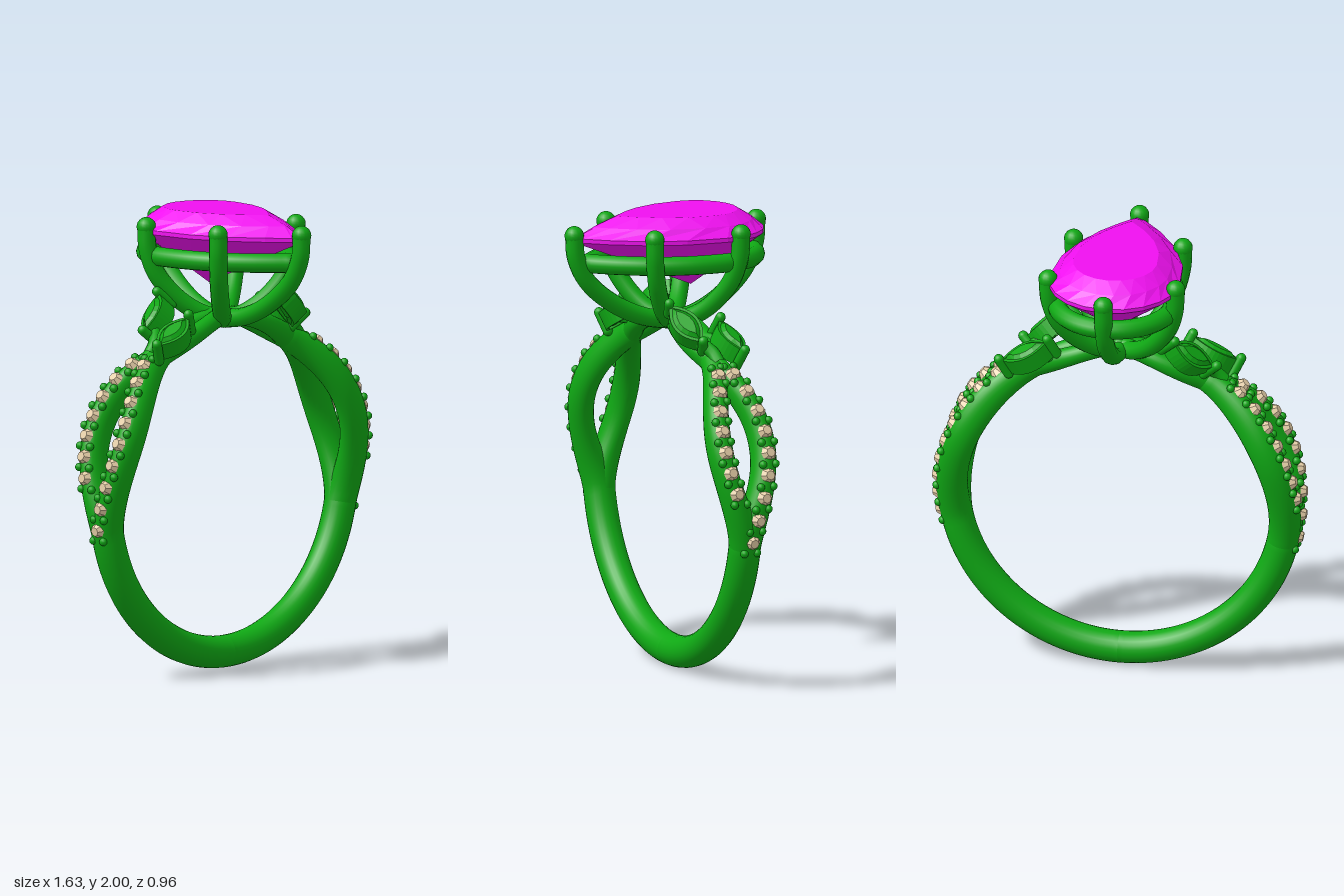
import * as THREE from 'three';

const V = (x, y, z) => new THREE.Vector3(x, y, z);
const metal = new THREE.MeshStandardMaterial({ color: 0x0fa814 });
const metalFlat = new THREE.MeshStandardMaterial({ color: 0x0fa814, flatShading: true });
const gemMat = new THREE.MeshStandardMaterial({ color: 0xf010f0, flatShading: true });
const paveMat = new THREE.MeshStandardMaterial({ color: 0xe6cfa8, flatShading: true });
const BAND_Z = -0.04, CENTER_Y = 0.8;

function add(parent, name, geometry, material, pos) {
  const mesh = new THREE.Mesh(geometry, material);
  mesh.name = name;
  if (pos) mesh.position.copy(pos);
  parent.add(mesh);
  return mesh;
}

// Skin a list of closed rings with equal point counts
function loft(rings) {
  const n = rings[0].length, index = [];
  for (let j = 0; j < rings.length - 1; j++)
    for (let i = 0; i < n; i++) {
      const k = (i + 1) % n, a = j * n, b = a + n;
      index.push(a + i, a + k, b + k, a + i, b + k, b + i);
    }
  const g = new THREE.BufferGeometry().setFromPoints(rings.flat());
  g.setIndex(index);
  g.computeVertexNormals();
  return g;
}

// Band dimensions as rules of the angle (degrees, -90 bottom, 90 top)
const ramp = (a, a0, a1, v0, v1) => v0 + (v1 - v0) * THREE.MathUtils.smoothstep(a, a0, a1);
const halfDepth = a => ramp(a, 35, 80, 0.07, 0.04);
const halfWidth = a => ramp(a, -12, 15, 0.07, 0.054) - ramp(a, 40, 75, 0, 0.014);
const midRadius = a => 0.66 + halfDepth(a) + ramp(a, 60, 90, 0, 0.035);
function spread(a) {
  if (a < -12) return 0;
  if (a < 58) return 0.102 * Math.sin(Math.PI * (a + 12) / 70) ** 1.4;
  return -0.045 * Math.sin(Math.PI * (a - 58) / 32);
}
function bandPoint(a, side, lift, dz) {
  const t = THREE.MathUtils.degToRad(a), r = midRadius(a) + lift;
  return V(r * Math.cos(t), CENTER_Y + r * Math.sin(t), BAND_Z + side * spread(a) + dz);
}

function strand(side, start) {
  const rings = [];
  for (let a = start; a <= 90; a += 2) {
    const ring = [];
    for (let i = 0; i < 24; i++) {
      const u = -i / 24 * Math.PI * 2;
      ring.push(bandPoint(a, side, halfDepth(a) * Math.cos(u), halfWidth(a) * Math.sin(u)));
    }
    rings.push(ring);
  }
  return loft(rings);
}

// Small stones with holding beads along a strand
function pave(parent, side, from, count) {
  const step = (47 - from) / (count - 1);
  const stone = new THREE.CylinderGeometry(0.02, 0.036, 0.024, 8);
  const bead = new THREE.SphereGeometry(0.018, 10, 8);
  for (let i = 0; i <= count; i++) {
    const a = from + i * step, b = a - step / 2;
    if (i < count) {
      const m = add(parent, 'paveStone', stone, paveMat, bandPoint(a, side, halfDepth(a) + 0.002, 0));
      m.rotation.z = THREE.MathUtils.degToRad(a - 90);
    }
    for (const dz of [-0.03, 0.03])
      add(parent, 'paveBead', bead, metal, bandPoint(b, side, halfDepth(b) - 0.008, dz));
  }
}

function leafShape(l, w, Type = THREE.Shape) {
  const s = new Type();
  s.moveTo(-l, 0);
  s.quadraticCurveTo(0, -2 * w, l, 0);
  s.quadraticCurveTo(0, 2 * w, -l, 0);
  return s;
}

// Leaf-shaped accent: rim, faceted centre and a post at each tip
function leafSetting(parent, center, dir, normal) {
  const g = new THREE.Group();
  g.name = 'leafSetting';
  const x = dir.normalize(), y = normal.clone().cross(x).normalize(), z = x.clone().cross(y);
  g.quaternion.setFromRotationMatrix(new THREE.Matrix4().makeBasis(x, y, z));
  g.position.copy(center);
  const rim = leafShape(0.115, 0.058);
  rim.holes.push(leafShape(0.095, 0.045, THREE.Path));
  add(g, 'leafRim', new THREE.ExtrudeGeometry(rim, { depth: 0.08, bevelEnabled: false, curveSegments: 12 }), metal, V(0, 0, -0.045));
  const stone = new THREE.ExtrudeGeometry(leafShape(0.07, 0.028),
    { depth: 0.05, bevelThickness: 0.018, bevelSize: 0.02, bevelSegments: 1, curveSegments: 5 });
  add(g, 'leafStone', stone, metalFlat, V(0, 0, -0.02));
  for (const s of [-1, 1]) {
    const post = add(g, 'leafPost', new THREE.CapsuleGeometry(0.022, 0.09, 5, 12), metal, V(s * 0.118, 0, 0));
    post.rotation.x = Math.PI / 2;
  }
  parent.add(g);
}

// One side of the band with its accents
function bandHalf() {
  const g = new THREE.Group();
  g.name = 'bandHalf';
  add(g, 'mainStrand', strand(-1, -90), metal);
  add(g, 'splitStrand', strand(1, -12), metal);
  pave(g, -1, -9, 9);
  pave(g, 1, 7, 7);
  leafSetting(g, V(0.39, 1.485, -0.12), V(0.87, -0.45, -0.06), V(0.4, 0.85, -0.25));
  leafSetting(g, V(0.32, 1.55, 0.05), V(0.19, -0.16, -0.09), V(0.5, 0.75, 0.35));
  const stems = [
    [V(0.46, 1.41, -0.04), V(0.42, 1.45, -0.03), V(0.36, 1.5, 0.02), V(0.31, 1.53, 0.05)],
    [V(0.25, 1.48, -0.07), V(0.3, 1.48, -0.09), V(0.36, 1.48, -0.12)],
  ];
  for (const s of stems)
    add(g, 'leafStem', new THREE.TubeGeometry(new THREE.CatmullRomCurve3(s), 12, 0.028, 10), metal);
  return g;
}

// Pear outline, scaled about a point inside it; u runs 0..1 from the tip
function pear(u, scale, y) {
  const t = u * Math.PI * 2, c = Math.cos(t), s = Math.sin(t), pz = -0.13;
  const x = c > 0 ? Math.sign(s) * 0.285 * (1 - c ** 2.3) : 0.285 * s;
  const z = -0.17 + c * (c > 0 ? 0.6 : 0.28);
  return V(x * scale, y, pz + (z - pz) * scale);
}

function centerStone() {
  const n = 20;
  const levels = [[0, 1.67], [0.5, 1.785], [0.97, 1.893], [1, 1.9], [1, 1.918], [0.84, 1.96], [0.64, 2], [0, 2]];
  return loft(levels.map(([s, y], j) => Array.from({ length: n }, (_, i) =>
    pear((i + (j === 1 || j === 5 ? 0.5 : 0)) / n, s, y))));
}

function head() {
  const g = new THREE.Group();
  g.name = 'head';
  add(g, 'centerStone', centerStone(), gemMat);
  const railPath = new THREE.CatmullRomCurve3(
    Array.from({ length: 32 }, (_, i) => pear((i + 0.5) / 32, 0.88, 1.802)), true);
  add(g, 'galleryRail', new THREE.TubeGeometry(railPath, 96, 0.042, 12, true), metal);

  // Prongs sweep from the base up to the rim of the stone
  const tips = [[0, -0.445], [0.28, -0.235], [-0.28, -0.235], [0.24, 0.16], [-0.24, 0.16], [0, 0.43]];
  const profile = [[0, 1.52], [0.28, 1.545], [0.58, 1.61], [0.86, 1.72], [0.98, 1.83], [1, 1.93]];
  for (const [x, z] of tips) {
    const path = new THREE.CatmullRomCurve3(profile.map(([f, y]) => V(x * f, y, BAND_Z + (z - BAND_Z) * f)));
    add(g, 'prong', new THREE.TubeGeometry(path, 32, 0.04, 12), metal);
    add(g, 'prongTip', new THREE.SphereGeometry(0.042, 16, 12), metal, V(x, 1.93, z));
  }
  add(g, 'headBase', new THREE.SphereGeometry(0.045, 16, 12), metal, V(0, 1.535, BAND_Z));
  return g;
}

export function createModel() {
  const model = new THREE.Group();
  model.name = 'ring';
  // The second half is the first turned half way round the vertical axis
  const right = bandHalf(), left = bandHalf();
  left.rotation.y = Math.PI;
  left.position.z = 2 * BAND_Z;
  model.add(right, left, head());
  return model;
}
